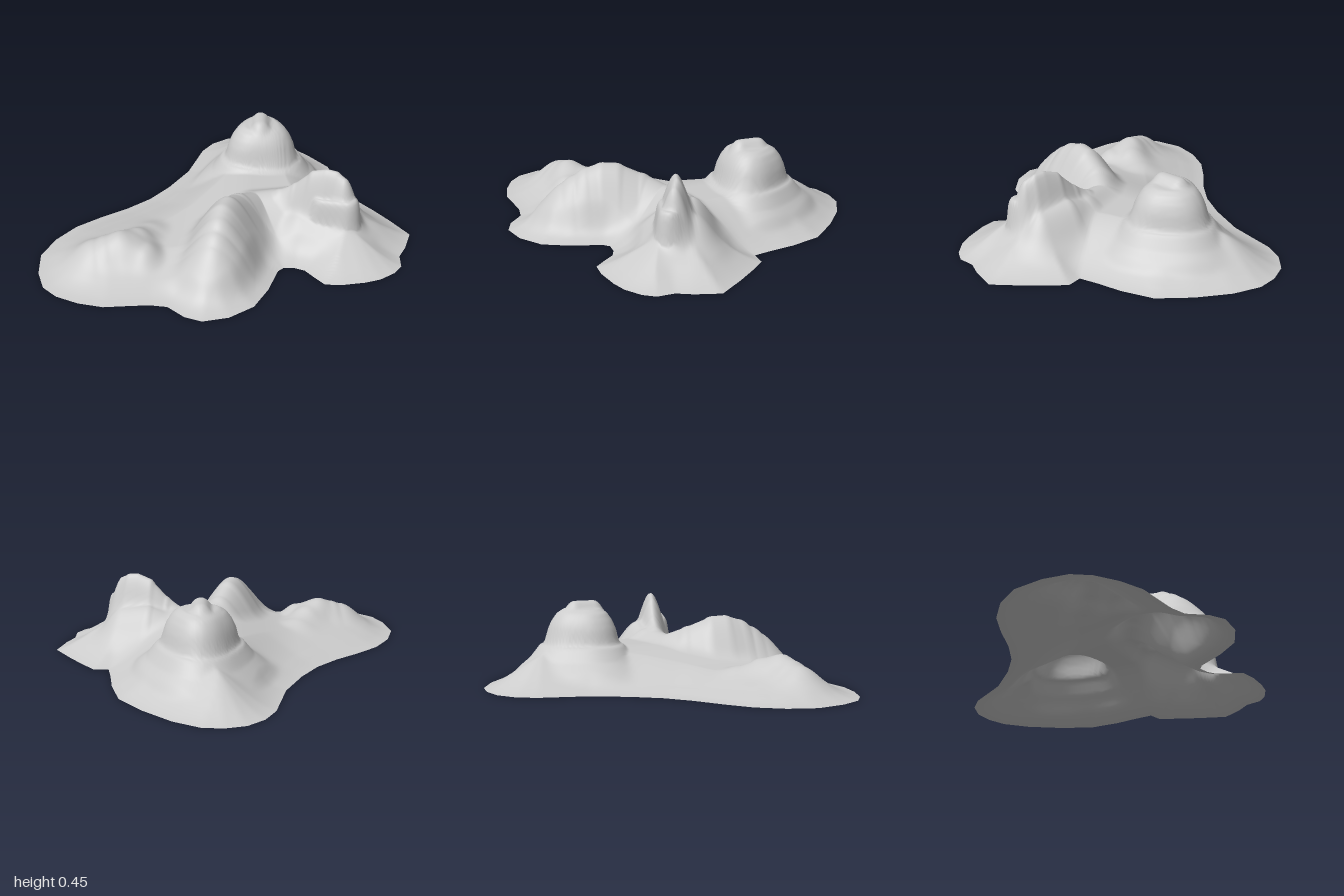
import * as THREE from 'three';

// shoreline corners (x, z), starting at the back and running towards +x
const shore = [
  [0.05, -0.945], [0.16, -0.935], [0.3, -0.86], [0.45, -0.73], [0.58, -0.58], [0.63, -0.41],
  [0.65, -0.27], [0.67, -0.17], [0.75, -0.17], [0.82, -0.09], [0.9, 0.01], [1, 0.15],
  [0.96, 0.28], [0.92, 0.36], [0.92, 0.45], [0.88, 0.51], [0.8, 0.57], [0.72, 0.6],
  [0.6, 0.625], [0.51, 0.625], [0.46, 0.57], [0.41, 0.51], [0.36, 0.49], [0.3, 0.49], [0.27, 0.52],
  [0.22, 0.68], [0.15, 0.82], [0.03, 0.91], [-0.1, 0.945], [-0.19, 0.915], [-0.28, 0.84],
  [-0.37, 0.83], [-0.47, 0.84], [-0.6, 0.855], [-0.73, 0.83], [-0.85, 0.78], [-0.93, 0.71],
  [-0.98, 0.59], [-1, 0.43], [-0.95, 0.28], [-0.86, 0.15], [-0.74, 0.05], [-0.6, -0.05],
  [-0.48, -0.16], [-0.38, -0.3], [-0.28, -0.49], [-0.25, -0.6], [-0.21, -0.75], [-0.15, -0.85], [-0.06, -0.92],
];

// crest lines: points are (x, z, height); w is the flank width, p the steepness
const ridges = [
  // middle hill and the saddle joining it to the right one
  { w: 0.19, p: 2, pts: [[0.3, 0.11, 0.25], [0.14, 0.13, 0.235], [0.05, 0.24, 0.29], [0, 0.36, 0.345], [-0.02, 0.43, 0.35], [-0.035, 0.51, 0.325], [-0.05, 0.57, 0.285], [-0.06, 0.61, 0.25]] },
  // sharp peak, its gentle back shoulder, front apron and cliff ledge
  { w: 0.11, p: 1.9, pts: [[0.28, 0.13, 0.26], [0.36, 0.15, 0.32], [0.45, 0.18, 0.415], [0.52, 0.205, 0.44], [0.57, 0.22, 0.435], [0.61, 0.245, 0.41]] },
  { w: 0.16, p: 2, pts: [[0.34, 0.08, 0.24], [0.46, 0.1, 0.28], [0.6, 0.15, 0.26]] },
  { w: 0.17, p: 2, pts: [[0.4, 0.22, 0.2], [0.6, 0.26, 0.2]] },
  { w: 0.082, p: 8, pts: [[0.5, 0.235, 0.295], [0.63, 0.275, 0.305]] },
  // low left hill
  { w: 0.16, p: 2.1, pts: [[-0.42, 0.32, 0.125], [-0.48, 0.42, 0.17], [-0.55, 0.485, 0.187], [-0.62, 0.5, 0.175], [-0.68, 0.51, 0.155]] },
  { w: 0.13, p: 2.4, pts: [[-0.55, 0.485, 0.187], [-0.43, 0.52, 0.15]] },
  // summit of the butte
  { w: 0.14, p: 2.5, pts: [[0.16, -0.41, 0.45], [0.16, -0.31, 0.45]] },
];

// butte profile: (fraction of its cliff radius, height)
const butte = [[0, 0.415], [0.5, 0.408], [0.68, 0.385], [0.82, 0.345], [0.93, 0.295], [0.99, 0.24],
  [1.04, 0.22], [1.15, 0.208], [1.4, 0.14], [1.8, 0.07], [2.3, 0]];

// closest point of a segment: distance and position along it
function toSegment(x, z, a, b) {
  const dx = b[0] - a[0], dz = b[1] - a[1];
  const t = THREE.MathUtils.clamp(((x - a[0]) * dx + (z - a[1]) * dz) / (dx * dx + dz * dz), 0, 1);
  return { t, d: Math.hypot(x - a[0] - t * dx, z - a[1] - t * dz) };
}

function smoothMax(a, b, k) {
  return Math.max(a, b) + Math.max(k - Math.abs(a - b), 0) ** 2 / (4 * k);
}

function shoreDistance(x, z) {
  let best = Infinity;
  shore.forEach((a, i) => {
    best = Math.min(best, toSegment(x, z, a, shore[(i + 1) % shore.length]).d);
  });
  return best;
}

function ridgeHeight(x, z, { pts, w, p }) {
  let h = 0;
  for (let i = 0; i + 1 < pts.length; i++) {
    const { t, d } = toSegment(x, z, pts[i], pts[i + 1]);
    h = Math.max(h, THREE.MathUtils.lerp(pts[i][2], pts[i + 1][2], t) * Math.exp(-((d / w) ** p)));
  }
  return h;
}

// rounded three-cornered butte at the back
function butteHeight(x, z) {
  const dx = x - 0.165, dz = z + 0.365;
  const radius = 0.2 + 0.015 * Math.cos(3 * Math.atan2(dx, -dz));
  const q = Math.hypot(dx, dz) / radius;
  for (let i = 0; i + 1 < butte.length; i++) {
    const [q0, h0] = butte[i], [q1, h1] = butte[i + 1];
    if (q <= q1) return THREE.MathUtils.lerp(h0, h1, (q - q0) / (q1 - q0));
  }
  return 0;
}

function height(x, z) {
  const d = shoreDistance(x, z);
  // low plain, higher on the +x side, sloping down to the shore
  const plain = 0.095 + 0.1 * THREE.MathUtils.smoothstep(x, -0.4, 0.12);
  const t = Math.min(1, d / 0.36);
  let h = plain * (0.5 * t + 0.5 * t * t * (3 - 2 * t));
  const fade = THREE.MathUtils.smoothstep(d, 0, 0.16);
  const k = 0.04 * fade + 1e-4;
  for (const r of ridges) h = smoothMax(h, ridgeHeight(x, z, r) * fade, r.p > 4 ? k / 4 : k);
  return smoothMax(h, butteHeight(x, z) * fade, k / 3);
}

// sheet of rings shrinking from the shore to an inner point
function terrainGeometry() {
  const cx = 0.15, cz = 0.1, rings = 90, split = 5;
  const rim = [];
  shore.forEach((a, i) => {
    const b = shore[(i + 1) % shore.length];
    for (let s = 0; s < split; s++) {
      rim.push([a[0] + (b[0] - a[0]) * s / split, a[1] + (b[1] - a[1]) * s / split]);
    }
  });
  const n = rim.length;
  const pos = [cx, height(cx, cz), cz], index = [];
  for (let r = 1; r <= rings; r++) {
    rim.forEach(([rx, rz], i) => {
      const x = cx + (rx - cx) * r / rings, z = cz + (rz - cz) * r / rings;
      pos.push(x, r === rings ? 0 : height(x, z), z);
      const j = (i + 1) % n, outer = 1 + (r - 1) * n, inner = outer - n;
      if (r === 1) index.push(0, outer + j, outer + i);
      else index.push(inner + i, inner + j, outer + i, inner + j, outer + j, outer + i);
    });
  }
  const g = new THREE.BufferGeometry();
  g.setAttribute('position', new THREE.Float32BufferAttribute(pos, 3));
  g.setIndex(index);
  g.computeVertexNormals();
  return g;
}

export function createModel() {
  const group = new THREE.Group();
  group.name = 'hillyIsland';
  const material = new THREE.MeshStandardMaterial({ color: 0xcccccc, side: THREE.DoubleSide });
  const terrain = new THREE.Mesh(terrainGeometry(), material);
  terrain.name = 'terrain';
  group.add(terrain);
  return group;
}
